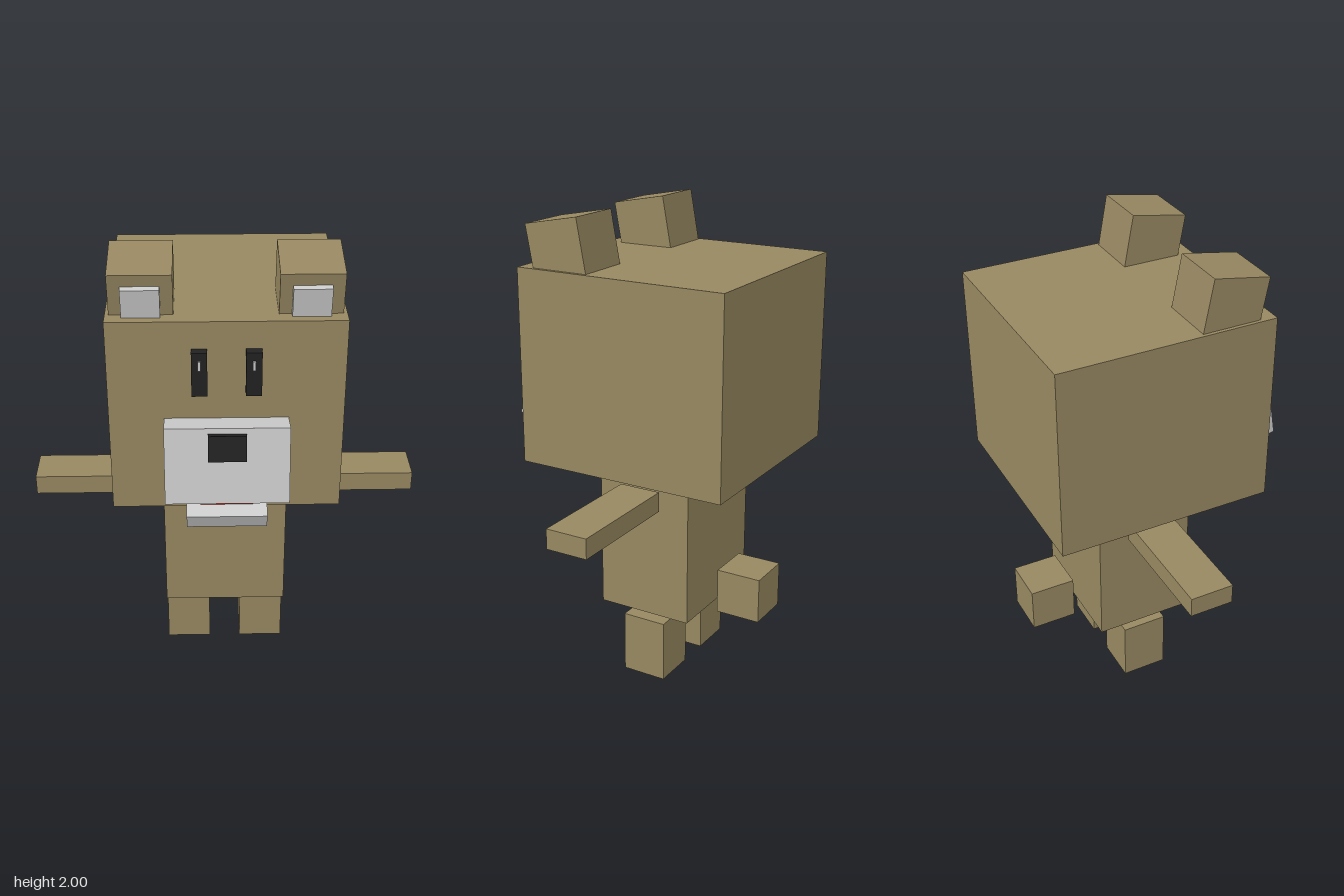
import * as THREE from 'three';

const material = (color) => new THREE.MeshStandardMaterial({ color, flatShading: true });

export function createModel() {
  const model = new THREE.Group();
  const fur = material(0x978861);
  const grey = material(0xcccccc);
  const black = material(0x222222);
  const red = material(0xd81a10);

  // Box from size and centre, optionally tilted about x (degrees)
  function box(name, mat, size, centre, tilt = 0, parent = model) {
    const mesh = new THREE.Mesh(new THREE.BoxGeometry(...size), mat);
    mesh.name = name;
    mesh.position.set(...centre);
    mesh.rotation.x = THREE.MathUtils.degToRad(tilt);
    parent.add(mesh);
    return mesh;
  }

  // Head, body and tail
  box('head', fur, [0.916, 0.815, 0.92], [0, 1.377, -0.095]);
  box('body', fur, [0.526, 0.617, 0.42], [0, 0.613, -0.095]);
  box('tail', fur, [0.195, 0.195, 0.195], [0, 0.4, -0.458]);

  // Snout, nose, mouth
  box('muzzle', grey, [0.484, 0.31, 0.24], [0, 1.2245, 0.395], -9.8);
  box('nose', black, [0.148, 0.1, 0.07], [0, 1.329, 0.509], -16);
  box('lowerJaw', grey, [0.32, 0.075, 0.24], [0, 1.021, 0.375], 25);
  box('tongue', red, [0.208, 0.08, 0.2], [0, 1.066, 0.352], 9);

  // Mirrored parts
  for (const [side, s] of [['left', 1], ['right', -1]]) {
    box(side + 'Arm', fur, [0.53, 0.085, 0.182], [s * 0.557, 0.843, -0.095]);
    box(side + 'Leg', fur, [0.193, 0.267, 0.195], [s * 0.166, 0.1335, -0.093]);

    box(side + 'Eye', black, [0.061, 0.182, 0.08], [s * 0.104, 1.582, 0.364]);
    box(side + 'EyeHighlight', grey, [0.012, 0.038, 0.04], [s * 0.104, 1.621, 0.392]);

    // Ear leaning forward, with a raised inner panel
    const ear = new THREE.Group();
    ear.name = side + 'Ear';
    ear.position.set(s * 0.321, 1.858, 0.188);
    ear.rotation.x = THREE.MathUtils.degToRad(10.5);
    model.add(ear);
    box(side + 'OuterEar', fur, [0.244, 0.244, 0.244], [0, 0, 0], 0, ear);
    box(side + 'InnerEar', grey, [0.147, 0.147, 0.05], [0, 0, 0.124], 0, ear);
  }

  return model;
}
